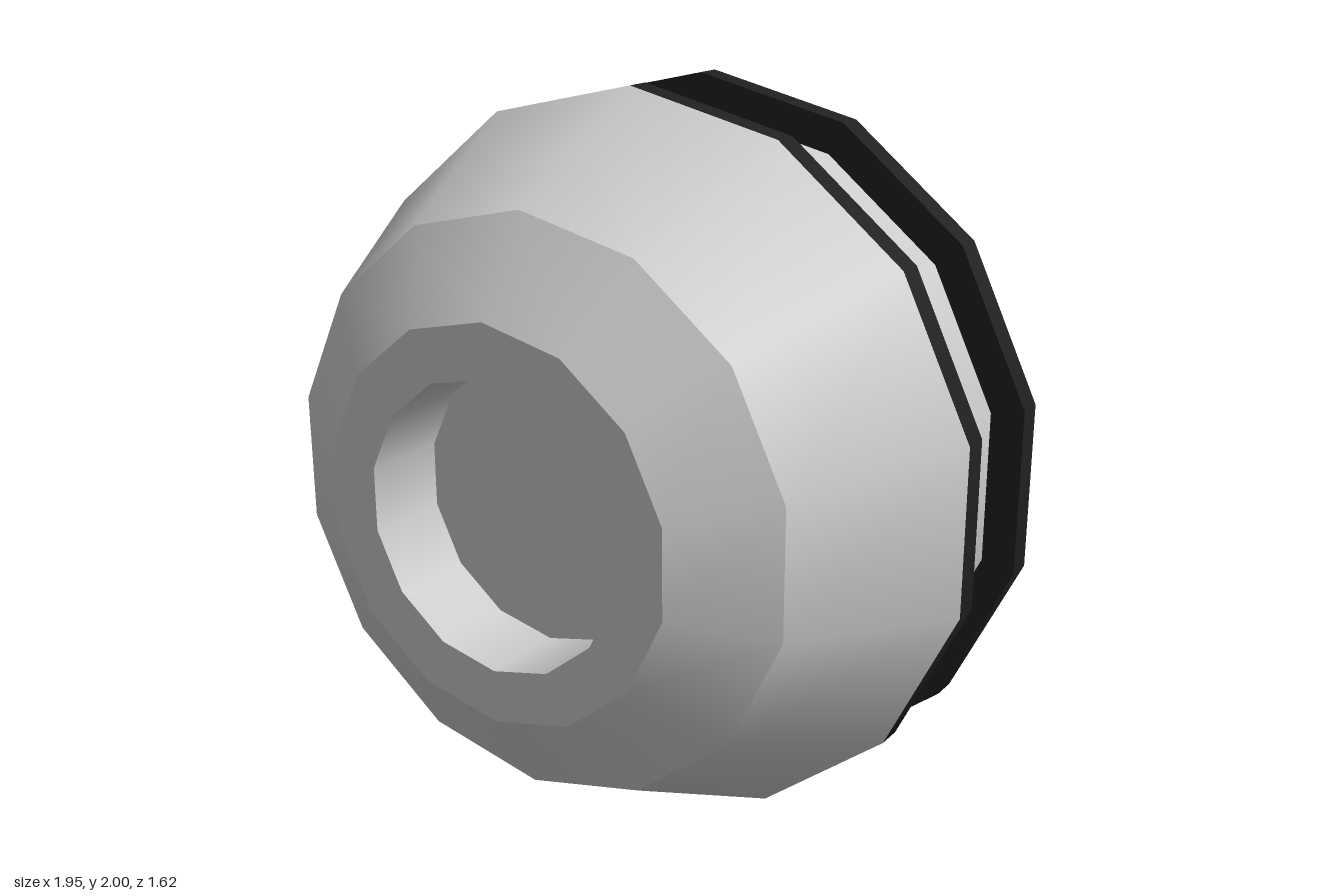
import * as THREE from 'three';

const SIDES = 14;
const grey = new THREE.MeshStandardMaterial({ color: 0xcccccc });
const black = new THREE.MeshStandardMaterial({ color: 0x202020 });

// One band turned about z from two [radius, z] points: smooth around, sharp at its ends
function band(name, from, to, material) {
  const points = [from, to].map(([r, z]) => new THREE.Vector2(r, z));
  const geometry = new THREE.LatheGeometry(points, SIDES).rotateX(Math.PI / 2);
  const mesh = new THREE.Mesh(geometry, material);
  mesh.name = name;
  return mesh;
}

// Half shell facing +z: dark rim, two tapered bands, flat face and round recess
function createHalf(name) {
  const half = new THREE.Group();
  half.name = name;
  const profile = [[0.9, 0.13], [1, 0.13], [1, 0.2], [0.76, 0.66], [0.52, 0.81],
    [0.38, 0.81], [0.38, 0.58], [0, 0.58]];
  const names = ['rimInnerFace', 'rimEdge', 'shellTaper', 'shellShoulder',
    'endFace', 'recessWall', 'recessFloor'];
  names.forEach((part, i) => {
    half.add(band(part, profile[i], profile[i + 1], i < 2 ? black : grey));
  });
  return half;
}

export function createModel() {
  const model = new THREE.Group();
  model.name = 'splitBarrel';

  // Core seen in the gap between the rims
  model.add(band('core', [0.907, -0.13], [0.907, 0.13], grey));

  // Matching halves
  const front = createHalf('frontHalf');
  const back = createHalf('backHalf');
  back.rotation.y = Math.PI;
  model.add(front, back);

  model.children.forEach((part) => { part.position.y = 1; });
  return model;
}
